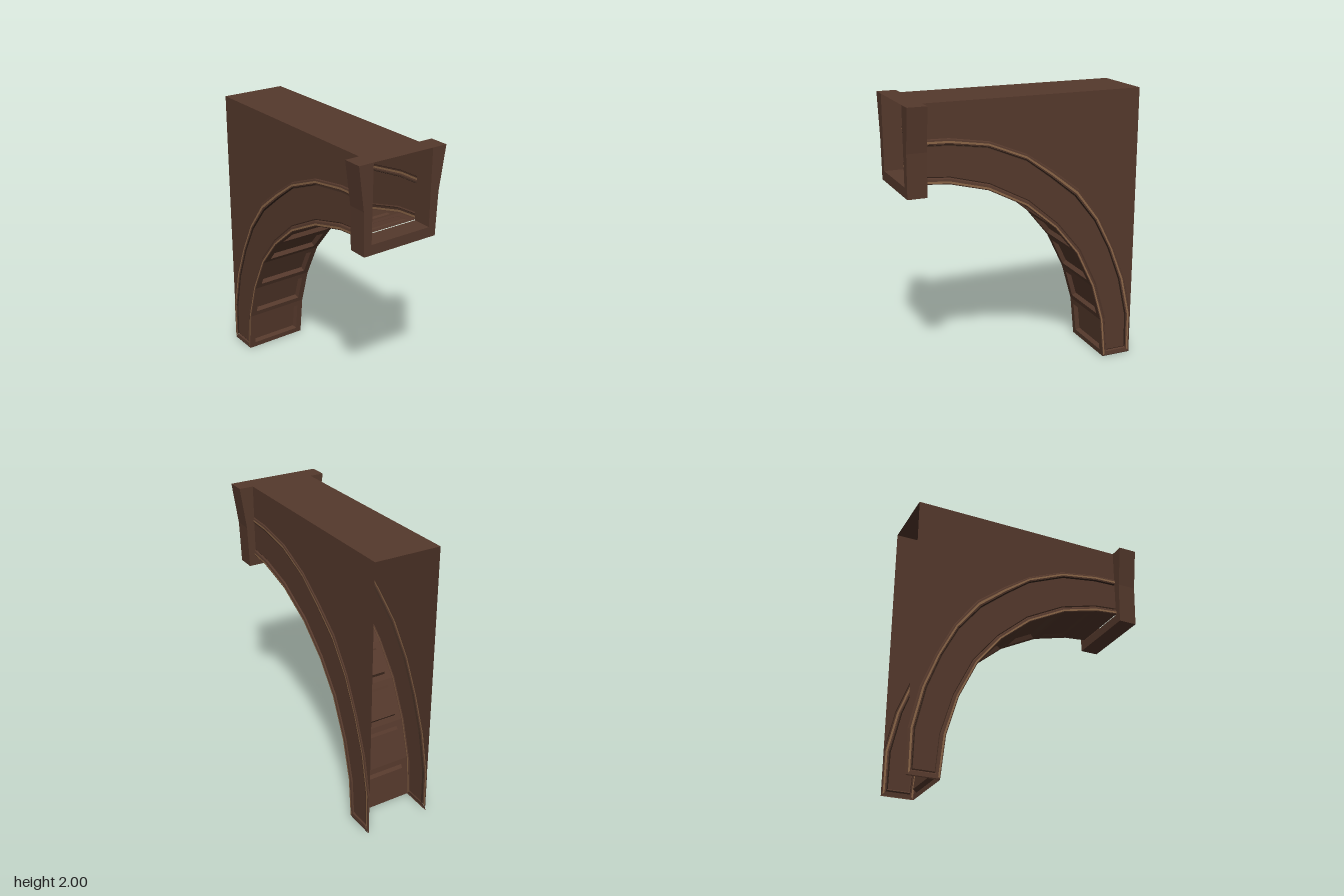
import * as THREE from 'three';

const X0 = -0.855, X1 = 0.72, X2 = 0.855, TOP = 2, WALL = 0.235, HALF = 0.24;

// Arch curves from foot to crown, as [x, y]
const soffitLine = [[-0.63, 0], [-0.6, 0.3], [-0.52, 0.58], [-0.39, 0.85], [-0.22, 1.06], [0, 1.245], [0.28, 1.39], [0.55, 1.46], [X1, 1.475]];
const lowerTrimLine = [[-0.665, 0.05], [-0.645, 0.3], [-0.56, 0.59], [-0.425, 0.87], [-0.245, 1.09], [-0.02, 1.285], [0.265, 1.435], [0.545, 1.51], [X1, 1.525]];
const upperTrimLine = [[X0, 0], [X0, 0.31], [-0.79, 0.6], [-0.69, 0.85], [-0.565, 1.1], [-0.4, 1.32], [-0.2, 1.475], [0, 1.61], [0.27, 1.72], [0.55, 1.765], [X1, 1.77]];
const bandLine = [[-0.81, 0.05], [-0.805, 0.31], [-0.74, 0.6], [-0.645, 0.85], [-0.53, 1.07], [-0.37, 1.27], [-0.18, 1.425], [0, 1.56], [0.28, 1.675], [0.55, 1.715], [X1, 1.72]];

// Flat-shaded geometry from a list of four-cornered faces
function quads(faces) {
  const pos = [];
  for (const [a, b, c, d] of faces) pos.push(...a, ...b, ...c, ...a, ...c, ...d);
  const g = new THREE.BufferGeometry();
  g.setAttribute('position', new THREE.Float32BufferAttribute(pos, 3));
  g.computeVertexNormals();
  return g;
}

function shapeOf(points) {
  return new THREE.Shape(points.map(([x, y]) => new THREE.Vector2(x, y)));
}

function flatWall(points) {
  return new THREE.ShapeGeometry(shapeOf(points)).translate(0, 0, WALL);
}

// Ribbon between two lines; profile holds [fraction across, z]
function ribbon(outer, inner, profile) {
  const at = (i, [t, z]) => [
    THREE.MathUtils.lerp(outer[i][0], inner[i][0], t),
    THREE.MathUtils.lerp(outer[i][1], inner[i][1], t), z];
  const faces = [];
  for (let i = 0; i < outer.length - 1; i++) {
    for (let j = 0; j < profile.length - 1; j++) {
      faces.push([at(i, profile[j]), at(i + 1, profile[j]), at(i + 1, profile[j + 1]), at(i, profile[j + 1])]);
    }
  }
  return quads(faces);
}

// One sunken panel with its rails for each straight run of the underside
function cofferGeometry(p, q, sunk) {
  const dx = q[0] - p[0], dy = q[1] - p[1], len = Math.hypot(dx, dy);
  const tx = dx / len, ty = dy / len;
  const ring = (margin, z, depth) => [[margin, z], [margin, -z], [len - margin, -z], [len - margin, z]]
    .map(([s, w]) => [p[0] + tx * s - ty * depth, p[1] + ty * s + tx * depth, w]);
  const rings = [ring(0, HALF, 0), ring(0.04, 0.195, 0), ring(0.053, 0.182, sunk)];
  const faces = [rings[2]];
  for (let r = 0; r < 2; r++) {
    for (let k = 0; k < 4; k++) {
      const n = (k + 1) % 4;
      faces.push([rings[r][k], rings[r][n], rings[r + 1][n], rings[r + 1][k]]);
    }
  }
  return quads(faces);
}

export function createModel() {
  const material = (name, color) => {
    const m = new THREE.MeshStandardMaterial({ color, side: THREE.DoubleSide });
    m.name = name;
    return m;
  };
  const wood = material('dark brown wood', 0x55392c);
  const worn = material('worn tan edge', 0x8a6547);
  const groove = material('dark groove', 0x35241b);

  const model = new THREE.Group();
  model.name = 'halfArch';
  const add = (parent, name, geometry, mat) => {
    const mesh = new THREE.Mesh(geometry, mat);
    mesh.name = name;
    parent.add(mesh);
  };

  // Mouldings: a raised bead with a worn crest, and a groove beside the upper one
  const upper = [[...upperTrimLine].reverse(), [...bandLine].reverse()];
  const lower = [soffitLine, lowerTrimLine];
  const foot = [[upperTrimLine[0], soffitLine[0]], [bandLine[0], lowerTrimLine[0]]];
  const faceParts = [
    ['spandrelWall', flatWall([...upperTrimLine.slice(1), [X1, TOP], [X0, TOP]]), wood],
    ['archBand', flatWall([...lowerTrimLine, ...[...bandLine].reverse()]), wood],
    ['upperMouldingOuter', ribbon(...upper, [[0, WALL], [0.12, 0.241], [0.32, 0.243]]), wood],
    ['upperMouldingCrest', ribbon(...upper, [[0.32, 0.243], [0.6, 0.243]]), worn],
    ['upperMouldingInner', ribbon(...upper, [[0.6, 0.243], [0.8, 0.24]]), wood],
    ['upperMouldingGroove', ribbon(...upper, [[0.8, 0.24], [0.9, 0.228], [1, WALL]]), groove],
    ['lowerMouldingEdge', ribbon(...lower, [[0, HALF], [0.12, 0.243]]), wood],
    ['lowerMouldingCrest', ribbon(...lower, [[0.12, 0.243], [0.4, 0.243]]), worn],
    ['lowerMouldingInner', ribbon(...lower, [[0.4, 0.243], [0.7, 0.24], [0.85, 0.23], [1, WALL]]), wood],
    ['footMoulding', ribbon(...foot, [[0, HALF], [0.12, 0.243], [0.7, 0.24], [0.85, 0.23], [1, WALL]]), wood],
  ];
  for (const side of [1, -1]) {
    const face = new THREE.Group();
    face.name = side > 0 ? 'frontFace' : 'backFace';
    face.scale.z = side;
    for (const part of faceParts) add(face, ...part);
    model.add(face);
  }

  // Coffered underside, shallower towards the crown
  const soffit = new THREE.Group();
  soffit.name = 'cofferedSoffit';
  for (let i = 0; i < soffitLine.length - 1; i++) {
    const sunk = [0.012, 0.004][i - 6] ?? 0.03;
    add(soffit, 'coffer', cofferGeometry(soffitLine[i], soffitLine[i + 1], sunk), wood);
  }
  model.add(soffit);

  // Flat top sheet; both ends of the arch stay open
  add(model, 'topSheet', quads([[[X0, TOP, WALL], [X2, TOP, WALL], [X2, TOP, -WALL], [X0, TOP, -WALL]]]), wood);

  // Flared U-shaped keystone, extruded along x
  const cheek = [[0.285, 1.4], [0.295, 1.7], [0.338, TOP], [0.23, TOP], [0.23, 1.47]];
  const mirrored = [...cheek].reverse().map(([z, y]) => [-z, y]);
  const keystone = new THREE.ExtrudeGeometry(shapeOf([...cheek, ...mirrored]), { depth: X2 - X1, bevelEnabled: false });
  keystone.rotateY(Math.PI / 2);
  keystone.translate(X1, 0, 0);
  add(model, 'keystone', keystone, wood);

  return model;
}
